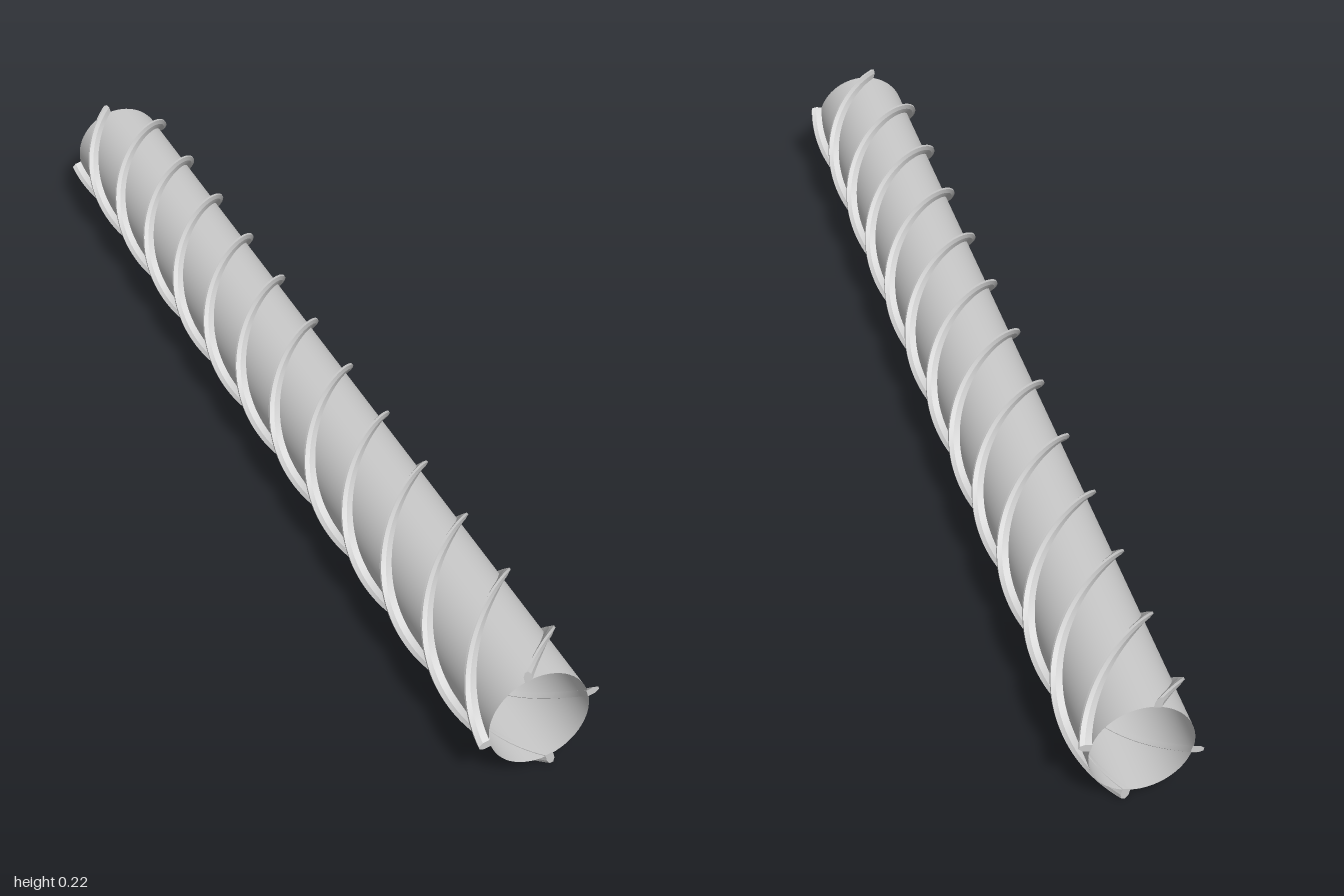
import * as THREE from 'three';

const LENGTH = 2, TUBE_R = 0.091, OUTER_R = 0.111;
const TURNS = 3, FINS = 4, STEPS = 240;
const START = THREE.MathUtils.degToRad(15); // fin angle at both ends

// fin section as [radius, sideways offset], counter-clockwise
const SECTION = [
  [0.0895, -0.007], [0.103, -0.007], [OUTER_R, -0.003],
  [OUTER_R, 0.003], [0.103, 0.007], [0.0895, 0.007],
];

// section swept along a helix, each side its own strip so the edges stay sharp
function finGeometry() {
  const positions = [], index = [];
  const add = ([r, t], s) => {
    const a = START + s * TURNS * Math.PI * 2 + t / r;
    positions.push(r * Math.cos(a), r * Math.sin(a), (s - 0.5) * LENGTH);
  };
  const n = SECTION.length;
  for (let k = 0; k < n; k++) {
    const base = positions.length / 3;
    for (let i = 0; i <= STEPS; i++) {
      add(SECTION[k], i / STEPS);
      add(SECTION[(k + 1) % n], i / STEPS);
    }
    for (let i = 0; i < STEPS; i++) {
      const a = base + i * 2;
      index.push(a, a + 1, a + 3, a, a + 3, a + 2);
    }
  }
  // end caps
  for (const s of [0, 1]) {
    const base = positions.length / 3;
    SECTION.forEach((p) => add(p, s));
    for (let k = 1; k < n - 1; k++) {
      if (s) index.push(base, base + k, base + k + 1);
      else index.push(base, base + k + 1, base + k);
    }
  }
  const g = new THREE.BufferGeometry();
  g.setAttribute('position', new THREE.Float32BufferAttribute(positions, 3));
  g.setIndex(index);
  g.computeVertexNormals();
  return g;
}

export function createModel() {
  const group = new THREE.Group();
  group.name = 'spiralFinnedTube';
  const material = new THREE.MeshStandardMaterial({ color: 0xcccccc, side: THREE.DoubleSide });

  // thin open tube lying along z
  const tube = new THREE.Mesh(
    new THREE.CylinderGeometry(TUBE_R, TUBE_R, LENGTH, 64, 1, true).rotateX(Math.PI / 2), material);
  tube.name = 'tube';
  tube.position.y = OUTER_R;
  group.add(tube);

  // four helical fins
  const geometry = finGeometry();
  for (let i = 0; i < FINS; i++) {
    const fin = new THREE.Mesh(geometry, material);
    fin.name = 'helicalFin' + (i + 1);
    fin.position.y = OUTER_R;
    fin.rotation.z = (i * Math.PI * 2) / FINS;
    group.add(fin);
  }
  return group;
}
